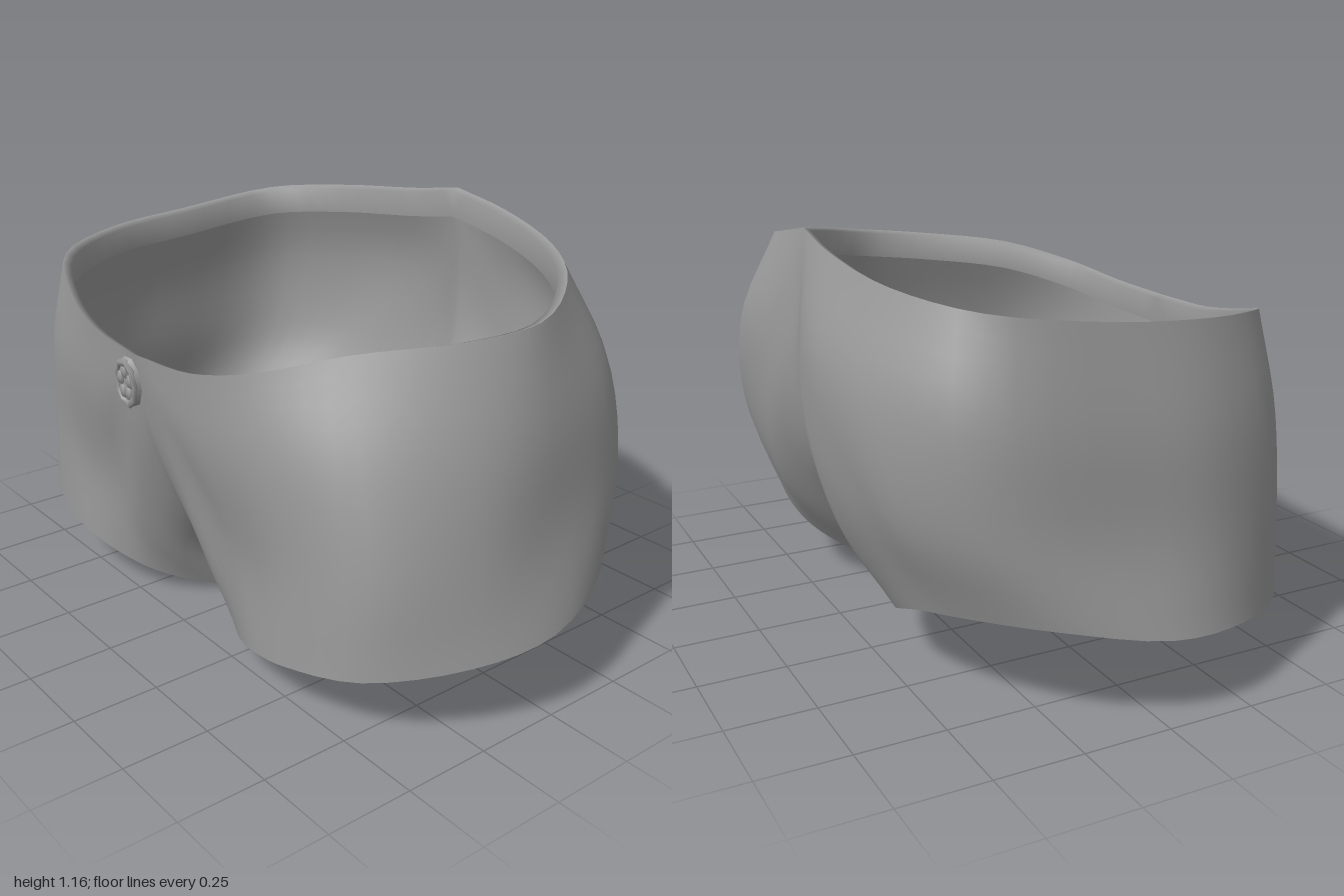
import * as THREE from 'three';
import { mergeGeometries, mergeVertices } from 'three/addons/utils/BufferGeometryUtils.js';

// Control loops for one half: columns 0-9 run front centre -> side -> back centre,
// columns 10-16 return along the centre seam and under the crotch.
const WAIST = [
  [0, .87, .625], [.25, .882, .605], [.45, .92, .55], [.65, .975, .41], [.79, 1, .17], [.82, 1.02, -.08],
  [.73, 1.06, -.36], [.5, 1.09, -.515], [.2, 1.13, -.57], [0, 1.165, -.565],
  [0, .8, -.595], [0, .5, -.525], [0, .28, -.31], [0, .125, -.05], [0, .2, .19], [0, .32, .43], [0, .6, .575]];
const HIP = [
  [.12, .7, .604], [.28, .68, .596], [.5, .7, .56], [.72, .72, .43], [.86, .74, .17], [.88, .75, -.08],
  [.79, .8, -.4], [.57, .83, -.58], [.32, .85, -.65], [.16, .8, -.64],
  [.13, .6, -.62], [.1, .38, -.505], [.06, .2, -.285], [.025, .09, -.03], [.03, .13, .2], [.08, .22, .43], [.1, .45, .55]];
const THIGH = [
  [.28, .38, .535], [.4, .38, .54], [.56, .42, .54], [.78, .44, .45], [.91, .46, .2], [.92, .48, -.05],
  [.84, .52, -.38], [.64, .53, -.56], [.46, .53, -.61], [.3, .5, -.62],
  [.24, .36, -.57], [.16, .22, -.43], [.08, .11, -.23], [.03, .05, 0], [.035, .06, .2], [.12, .12, .41], [.2, .24, .515]];
const HEM = [
  [.34, .1, .52], [.44, .125, .545], [.56, .15, .55], [.79, .19, .48], [.95, .22, .25], [.995, .245, 0],
  [.9, .29, -.28], [.72, .28, -.43], [.56, .25, -.49], [.43, .2, -.49],
  [.32, .15, -.45], [.2, .09, -.34], [.1, .045, -.18], [.035, .02, 0], [.04, .005, .2], [.12, .03, .35], [.22, .065, .46]];
const COLS = 17, SUB = 4, ROWS = 14, BACK = 9;

// Uneven fit: outward shift per side column, and its weight for waist, hip, thigh and hem
const FULLNESS = { 2: [.015, .01], 3: [.05, .04], 4: [.035, .04], 5: [.015, 0], 6: [.045, -.05], 7: [.035, -.025] };
const FIT = { 1: [-1, -.15, .1, 0], [-1]: [.9, .85, .35, 0] };

// Points along a control loop; the waist loop keeps sharp corners at front and back centre
function sampleLoop(list, corners, weight) {
  const pts = list.map(([x, y, z], i) => {
    const [dx, dz] = FULLNESS[i] ?? [0, 0];
    return new THREE.Vector3(x + dx * weight, y, z + dz * weight);
  });
  const whole = new THREE.CatmullRomCurve3(pts, true);
  const arc = new THREE.CatmullRomCurve3(pts.slice(0, BACK + 1));
  const seam = new THREE.CatmullRomCurve3([...pts.slice(BACK), pts[0]]);
  const out = [];
  for (let i = 0; i < COLS * SUB; i++) {
    const u = i / SUB;
    const p = !corners ? whole.getPoint(u / COLS)
      : u <= BACK ? arc.getPoint(u / BACK) : seam.getPoint((u - BACK) / (COLS - BACK));
    p.x = Math.max(p.x, 0);
    out.push(p);
  }
  return out;
}

// Grid surface through rows of points, mirrored when side is -1
function gridGeometry(rows, side, closed) {
  const n = rows[0].length, pos = [], index = [];
  rows.forEach((row) => row.forEach((p) => pos.push(p.x * side, p.y, p.z)));
  for (let r = 0; r < rows.length - 1; r++) {
    for (let c = 0; c < (closed ? n : n - 1); c++) {
      const a = r * n + c, b = r * n + (c + 1) % n;
      const d = a + n, e = b + n;
      if (side > 0) index.push(a, d, b, b, d, e);
      else index.push(a, b, d, b, e, d);
    }
  }
  const g = new THREE.BufferGeometry();
  g.setAttribute('position', new THREE.Float32BufferAttribute(pos, 3));
  g.setIndex(index);
  return g;
}

// Rows of the shell, turned-in waistband and turned-in hem for one side
function buildSide(side) {
  const loops = [WAIST, HIP, THIGH, HEM].map((l, i) => sampleLoop(l, i === 0, FIT[side][i]));
  const columns = loops[0].map((_, i) => new THREE.CatmullRomCurve3(loops.map((l) => l[i])));
  const rows = [];
  for (let r = 0; r <= ROWS; r++) rows.push(columns.map((c) => c.getPoint(r / ROWS)));
  rows.forEach((row) => row.forEach((p) => { p.x = Math.max(p.x, 0); }));

  const waist = loops[0].slice(0, BACK * SUB + 1);
  const inset = (dy, k) => waist.map((p) => new THREE.Vector3(p.x * k, p.y + dy, p.z * k));
  const centre = new THREE.Vector3(.5, .16, .03);
  const hemInner = (dy) => loops[3].map((p) => {
    const q = p.clone().lerp(centre, .03);
    q.y += dy;
    return q;
  });
  return {
    shell: gridGeometry(rows, side, true),
    band: gridGeometry([inset(-.09, .97), inset(-.01, .965), waist], side, false),
    hem: gridGeometry([loops[3], hemInner(.005), hemInner(.04)], side, true),
  };
}

export function createModel() {
  const group = new THREE.Group();
  const cloth = new THREE.MeshStandardMaterial({ color: 0x999999, side: THREE.DoubleSide });
  cloth.name = 'grey cloth';
  const add = (name, geometry, parent = group) => {
    const mesh = new THREE.Mesh(geometry, cloth);
    mesh.name = name;
    parent.add(mesh);
    return mesh;
  };

  // Cloth parts, both halves welded so shading runs smoothly over the centre
  const left = buildSide(1), right = buildSide(-1);
  const parts = { shell: 'shortsShell', band: 'waistbandLining', hem: 'legHemLining' };
  for (const [key, name] of Object.entries(parts)) {
    const g = mergeVertices(mergeGeometries([left[key], right[key]]), 1e-4);
    g.computeVertexNormals();
    add(name, g);
  }

  // Front button: a crumpled rosette
  const button = new THREE.Group();
  button.name = 'frontButton';
  button.position.set(-.02, .785, .63);
  button.rotation.x = .06;
  button.scale.y = 1.35;
  group.add(button);
  add('buttonDisc', new THREE.CylinderGeometry(.05, .055, .016, 9).rotateX(Math.PI / 2), button);
  add('buttonRim', new THREE.TorusGeometry(.046, .009, 5, 9), button).position.z = .008;
  for (let i = 0; i < 5; i++) {
    const a = i * Math.PI * 2 / 5 + .3;
    const petal = add('buttonPetal', new THREE.SphereGeometry(.017, 6, 4), button);
    petal.position.set(Math.cos(a) * .025, Math.sin(a) * .025, .006);
    petal.scale.z = .7;
  }
  return group;
}
